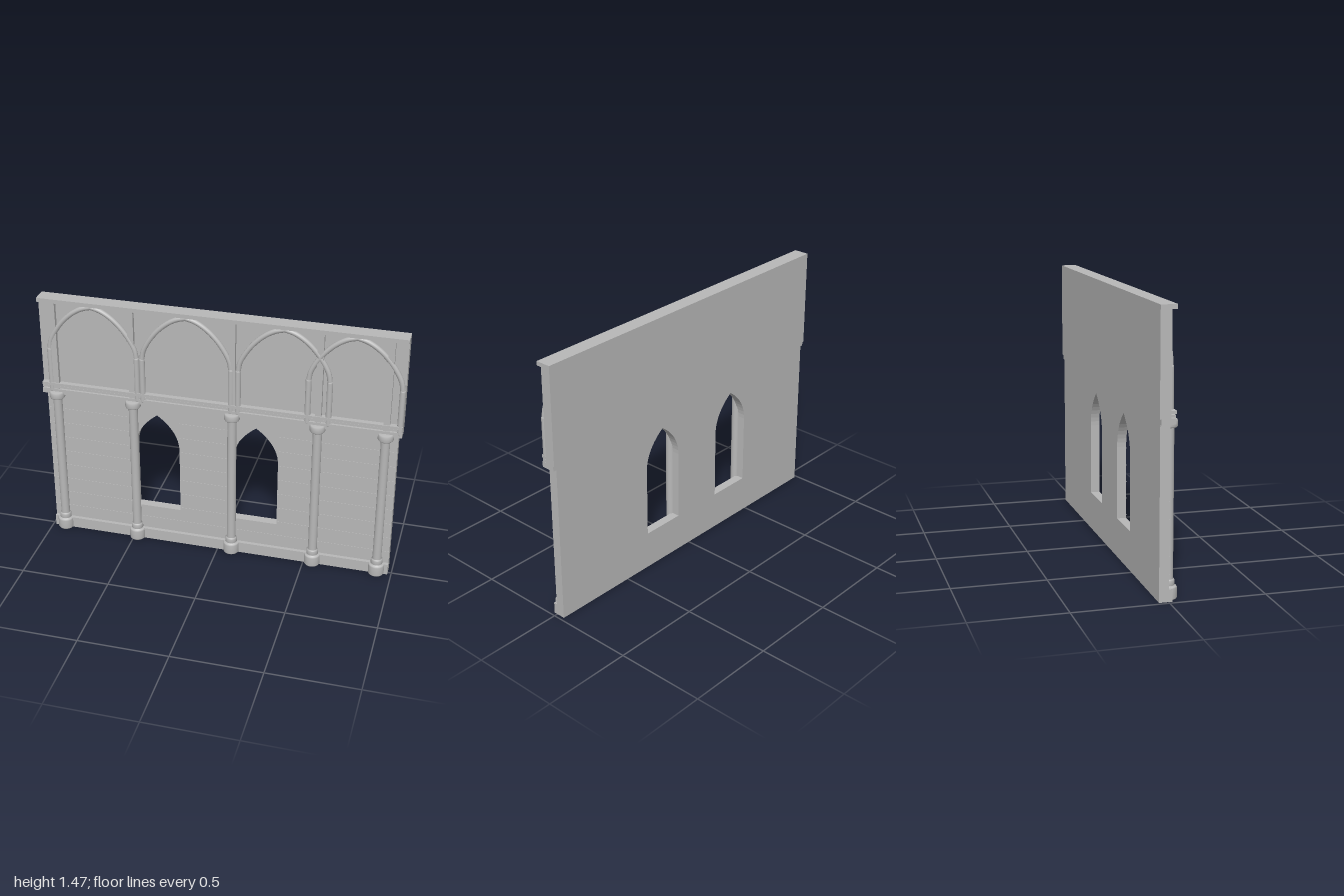
import * as THREE from 'three';

const stone = new THREE.MeshStandardMaterial({ color: 0xb8b8b8 });
stone.name = 'stone grey';

export function createModel() {
  const model = new THREE.Group();
  model.name = 'gothicWall';

  const add = (name, geometry, x = 0, y = 0, z = 0) => {
    const mesh = new THREE.Mesh(geometry, stone);
    mesh.name = name;
    mesh.position.set(x, y, z);
    model.add(mesh);
    return mesh;
  };
  // Box given by its limits on each axis
  const slab = (name, x0, x1, y0, y1, z0, z1) =>
    add(name, new THREE.BoxGeometry(x1 - x0, y1 - y0, z1 - z0),
      (x0 + x1) / 2, (y0 + y1) / 2, (z0 + z1) / 2);

  const columnXs = [-0.92, -0.48, 0.08, 0.55, 0.915];
  const windowXs = [-0.348, 0.212];
  const halfWindow = 0.125;

  // Lower wall pierced by two pointed windows
  const wall = new THREE.Shape();
  wall.moveTo(-0.983, 0).lineTo(0.98, 0).lineTo(0.98, 0.92).lineTo(-0.983, 0.92).closePath();
  for (const x of windowXs) {
    const hole = new THREE.Path();
    hole.moveTo(x - halfWindow, 0.215);
    hole.lineTo(x - halfWindow, 0.61);
    hole.quadraticCurveTo(x - halfWindow, 0.73, x, 0.82);
    hole.quadraticCurveTo(x + halfWindow, 0.73, x + halfWindow, 0.61);
    hole.lineTo(x + halfWindow, 0.215);
    hole.closePath();
    wall.holes.push(hole);
  }
  add('lowerWall', new THREE.ExtrudeGeometry(wall,
    { depth: 0.05, bevelEnabled: false, curveSegments: 10 }), 0, 0, -0.05);
  slab('plinth', -0.983, 0.98, 0, 0.065, -0.01, 0.02);

  // Fine plank joints, interrupted by the windows
  const spans = [[-0.983, -0.48], [-0.222, 0.08], [0.34, 0.98]];
  for (let row = 0; row < 9; row++) {
    const y = 0.14 + row * 0.092;
    const runs = y > 0.21 && y < 0.83 ? spans : [[-0.983, 0.98]];
    for (const [a, b] of runs) slab('plankJoint', a, b, y - 0.002, y + 0.002, -0.002, 0.002);
  }

  // Upper panel, ledge, rails and cornice
  slab('upperPanel', -1, 1, 0.918, 1.465, -0.057, 0);
  slab('ledge', -1, 1, 0.89, 0.92, -0.05, 0.026);
  slab('lowerRail', -1, 1, 0.925, 0.938, -0.005, 0.022);
  slab('upperRail', -1, 1, 0.942, 0.957, -0.005, 0.028);
  slab('cornice', -1, 1, 1.442, 1.465, -0.01, 0.028);

  // Round columns with moulded bases and capitals, pilasters above
  const profile = [
    [0, 0], [0.041, 0], [0.045, 0.006], [0.045, 0.057], [0.041, 0.064], [0.029, 0.066],
    [0.033, 0.071], [0.033, 0.094], [0.029, 0.1], [0.025, 0.102], [0.025, 0.862],
    [0.038, 0.864], [0.043, 0.871], [0.043, 0.896], [0.038, 0.904], [0, 0.905],
  ].map(([r, y]) => new THREE.Vector2(r, y));
  const columnGeometry = new THREE.LatheGeometry(profile, 24);
  for (const x of columnXs) {
    add('column', columnGeometry, x, 0, 0.015);
    slab('pilaster', x - 0.017, x + 0.017, 0.9, 1.445, -0.005, 0.022);
  }

  // Pointed blind arches on slender legs
  const half = 0.247;
  const arc = [[1, 1.16], [0.96, 1.215], [0.8, 1.29], [0.6, 1.352], [0.4, 1.395], [0.2, 1.423], [0, 1.437]];
  const legGeometry = new THREE.CapsuleGeometry(0.016, 0.25, 4, 12);
  for (const x of [-0.70, -0.175, 0.358, 0.738]) {
    for (const side of [-1, 1]) {
      const path = new THREE.CatmullRomCurve3(
        arc.map(([u, y]) => new THREE.Vector3(side * u * half, y, 0)));
      add('archRib', new THREE.TubeGeometry(path, 28, 0.014, 10, false), x, 0, 0.012);
      add('archLeg', legGeometry, x + side * half, 1.035, 0.012);
    }
    // Keystone closes the point of the arch
    add('archPoint', new THREE.SphereGeometry(0.014, 12, 8), x, 1.437, 0.012);
  }

  return model;
}
